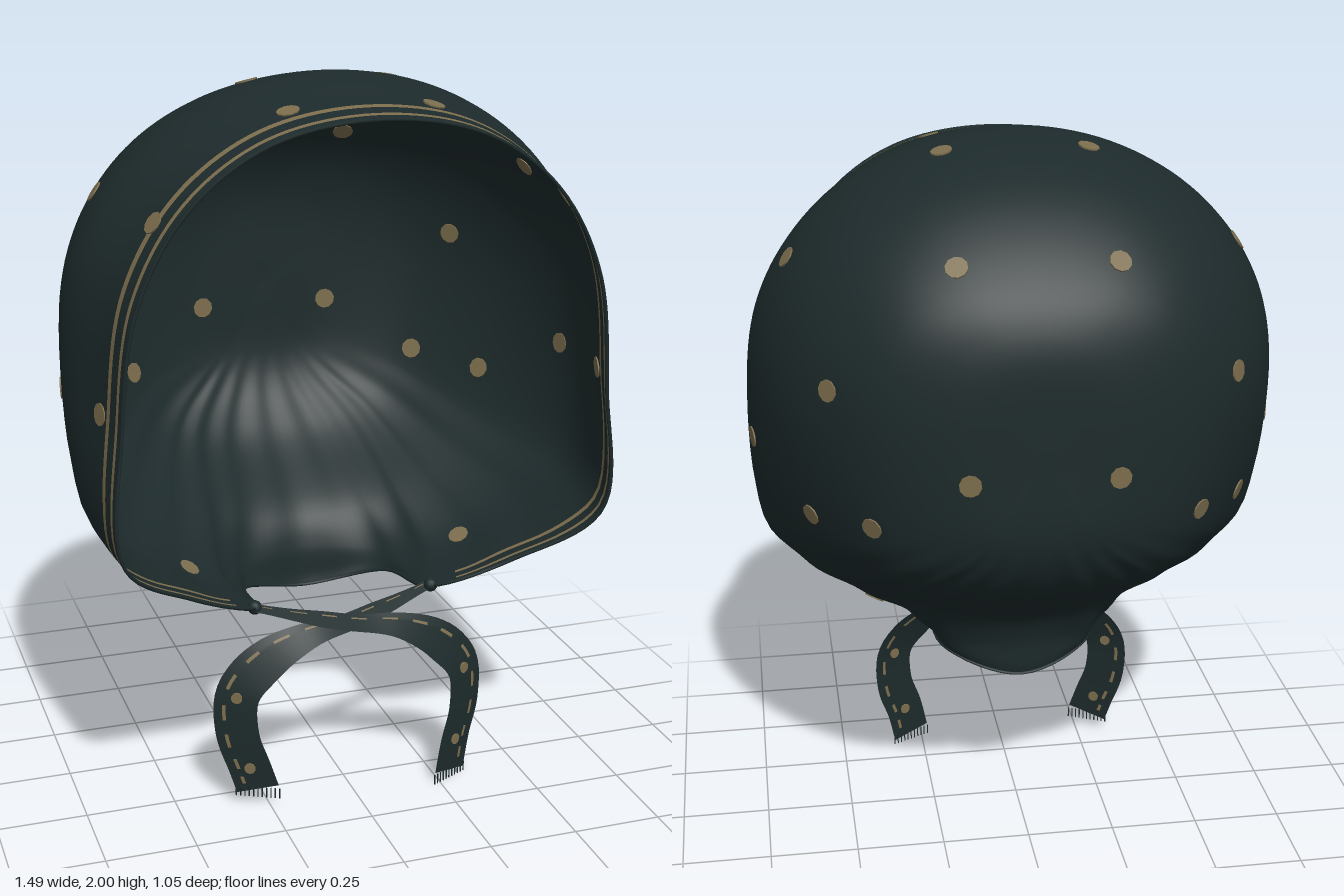
import * as THREE from 'three';

const V = (x, y, z) => new THREE.Vector3(x, y, z);
const { lerp, smoothstep, clamp } = THREE.MathUtils;
const AROUND = 162; // columns around the hood opening
const RING_KEYS = 18;

// Half a cross-section: a squarish arch from the crown to the temple,
// then cheek, jaw, tie corner and neck side to the nape.
function halfSection(width, top, mid, zTop, zMid, power, cheek, tie, neck, nape) {
  const points = [];
  for (let i = 0; i <= 4; i++) {
    const a = i / 4 * Math.PI / 2;
    points.push(V(width * Math.sin(a) ** power, mid + (top - mid) * Math.cos(a) ** power,
      lerp(zTop, zMid, (i / 4) ** 2)));
  }
  const jaw = cheek.clone().lerp(tie, .5);
  jaw.y -= .03;
  return [...points, cheek, jaw, tie, neck, nape];
}

// Cross-sections from the front rim to the back of the head
const SECTIONS = [
  halfSection(.665, 1.93, 1.17, .52, .485, .88, V(.67, .82, .48), V(.26, .56, .26), V(.21, .51, -.01), V(0, .455, -.1)),
  halfSection(.69, 1.96, 1.24, .37, .365, .92, V(.685, .83, .36), V(.28, .57, .19), V(.21, .525, -.025), V(0, .48, -.105)),
  halfSection(.74, 2, 1.33, .1, .1, .97, V(.69, .86, .12), V(.32, .6, .08), V(.21, .565, -.05), V(0, .57, -.115)),
  halfSection(.65, 1.92, 1.32, -.2, -.2, .87, V(.56, .92, -.18), V(.3, .72, -.13), V(.18, .68, -.145), V(0, .66, -.16)),
  halfSection(.46, 1.74, 1.34, -.42, -.42, .8, V(.4, 1.02, -.41), V(.25, .88, -.39), V(.14, .855, -.4), V(0, .85, -.405)),
];
// Smaller section on the flat of the back, and the closing point
SECTIONS.push(SECTIONS[4].map(p => V(p.x * .55, 1.3 + (p.y - 1.3) * .65, -.505)));
const POLE = V(0, 1.3, -.525);

// Mirror a half section into a closed ring curve
function ringCurve(half) {
  const right = half.slice(1, -1).reverse().map(p => V(-p.x, p.y, p.z));
  return new THREE.CatmullRomCurve3([...half, ...right], true);
}

function hoodGeometry(rings) {
  // Rows: narrow ones near the rim carry the two stripes
  const rows = [0, .21, .32, .6, .74];
  for (let r = 1; r < 5.95; r += .1) rows.push(r);
  const pos = [], cloth = [], gold = [], meridians = [];
  for (let i = 0; i < AROUND; i++)
    meridians.push(new THREE.CatmullRomCurve3([...rings.map(c => c.getPoint(i / AROUND)), POLE]));
  for (const r of rows) meridians.forEach((m, i) => {
    const p = m.getPoint(r / rings.length);
    // Soft gathers running towards the neck
    const w = clamp((1.05 - p.y) / .45, 0, 1) * Math.min(1, r / 2);
    const k = 1 + .02 * w * Math.cos(i / AROUND * Math.PI * 44);
    pos.push(p.x * k, p.y, p.z * k);
  });
  const pole = pos.length / 3;
  pos.push(POLE.x, POLE.y, POLE.z);
  for (let j = 0; j < rows.length; j++) for (let i = 0; i < AROUND; i++) {
    const a = j * AROUND + i, b = j * AROUND + (i + 1) % AROUND;
    if (j === rows.length - 1) { cloth.push(a, b, pole); continue; }
    const key = Math.min(i, AROUND - 1 - i) * RING_KEYS / AROUND;
    const list = (j === 1 || j === 3) && key < 6.6 ? gold : cloth;
    list.push(a, b, a + AROUND, b, b + AROUND, a + AROUND);
  }
  return grouped(pos, cloth, gold);
}

// Indexed geometry with a cloth group and a gold group
function grouped(pos, cloth, gold) {
  const g = new THREE.BufferGeometry();
  g.setAttribute('position', new THREE.Float32BufferAttribute(pos, 3));
  g.setIndex([...cloth, ...gold]);
  g.addGroup(0, cloth.length, 0);
  g.addGroup(cloth.length, gold.length, 1);
  g.computeVertexNormals();
  return g;
}

// Ribbon lying flat at the crossing and hanging upright after it, with a dashed gold line
function ribbonGeometry(curve, side) {
  const n = 48, cols = [-.5, .22, .3, .5], pos = [], cloth = [], gold = [];
  for (let i = 0; i <= n; i++) {
    const t = i / n, p = curve.getPoint(t), d = curve.getTangent(t);
    const hang = smoothstep(t, .25, .55);
    const across = V(-d.y, d.x, 0).normalize().multiplyScalar(side * lerp(.5, 1, hang));
    across.z = lerp(-.9, -.5, hang);
    const width = lerp(.03, .06, smoothstep(t, 0, .2)) + .05 * hang;
    for (const c of cols) {
      const q = p.clone().addScaledVector(across, c * width);
      pos.push(q.x, q.y, q.z);
    }
  }
  for (let i = 0; i < n; i++) for (let c = 0; c < 3; c++) {
    const a = i * 4 + c, b = a + 4;
    (c === 1 && i % 4 < 2 ? gold : cloth).push(a, a + 1, b, a + 1, b + 1, b);
  }
  return grouped(pos, cloth, gold);
}

export function createModel() {
  const model = new THREE.Group();
  const cloth = new THREE.MeshStandardMaterial({ name: 'dark green cloth', color: 0x1d2a2b, side: THREE.DoubleSide });
  const gold = new THREE.MeshStandardMaterial({ name: 'dull gold', color: 0x7c6d4d, side: THREE.DoubleSide });
  const add = (name, geo, mat, parent = model) => {
    const m = new THREE.Mesh(geo, mat);
    m.name = name;
    parent.add(m);
    return m;
  };

  // Hood shell and its hem
  const rings = SECTIONS.map(ringCurve);
  const hood = add('hood', hoodGeometry(rings), [cloth, gold]);
  add('hem', new THREE.TubeGeometry(rings[0], 160, .005, 6, true), cloth);

  // Printed dots, snapped to the nearest point of the hood
  const dots = new THREE.Group();
  dots.name = 'dots';
  model.add(dots);
  const P = hood.geometry.attributes.position, N = hood.geometry.attributes.normal;
  const spots = [V(.218, 1.98, .01), V(.22, 1.76, -.38), V(.625, 1.71, 0), V(.2, 1.95, .39), V(.57, 1.7, .395),
    V(.69, 1.2, .385), V(.735, 1.18, .06), V(.53, 1.44, -.32), V(.18, 1.22, -.51), V(.43, 1.06, -.38),
    V(.59, 1.05, -.2), V(.42, .63, .1)];
  for (const s of [1, -1]) for (const spot of spots) {
    const target = V(spot.x * s, spot.y, spot.z), p = V(0, 0, 0);
    let best = 0, min = Infinity;
    for (let i = 0; i < P.count; i++) {
      const d = p.fromBufferAttribute(P, i).distanceToSquared(target);
      if (d < min) { min = d; best = i; }
    }
    const dot = add('dot', new THREE.CylinderGeometry(.03, .03, .007, 10), gold, dots);
    dot.position.fromBufferAttribute(P, best);
    dot.quaternion.setFromUnitVectors(V(0, 1, 0), V(0, 0, 0).fromBufferAttribute(N, best).normalize());
  }

  // Crossed ties: each starts at one corner and hangs on the other side
  for (const s of [1, -1]) {
    const tie = new THREE.Group();
    tie.name = s > 0 ? 'leftTie' : 'rightTie';
    model.add(tie);
    const end = s > 0 ? .025 : .055, dz = s > 0 ? .006 : -.006;
    const path = [V(-.26, .56, .25), V(-.12, .53, .29), V(0, .51, .32), V(.13, .49, .335), V(.25, .43, .33),
      V(.33, .34, .325), V(.335, .22, .33), V(.305, .12, .345), V(.285, end, .355)];
    const curve = new THREE.CatmullRomCurve3(path.map(p => V(p.x * s, p.y, p.z + dz)));
    add('ribbon', ribbonGeometry(curve, s), [cloth, gold], tie);
    add('knot', new THREE.SphereGeometry(.02, 12, 8), cloth, tie).position.set(-.26 * s, .56, .25);
    // Frayed threads at the end
    for (let i = 0; i < 11; i++) {
      const f = i / 10 - .5;
      const thread = add('thread', new THREE.BoxGeometry(.003, .03, .003), cloth, tie);
      thread.position.set(s * (.285 + f * .11), end - .01, .355 + dz - f * .055);
    }
    // Dots on the ribbon
    for (const t of [.64, .88]) {
      const dot = add('tieDot', new THREE.CylinderGeometry(.016, .016, .008, 10), gold, tie);
      dot.position.copy(curve.getPoint(t));
      dot.rotation.set(Math.PI / 2, s * .46, 0, 'YXZ');
    }
  }
  return model;
}
